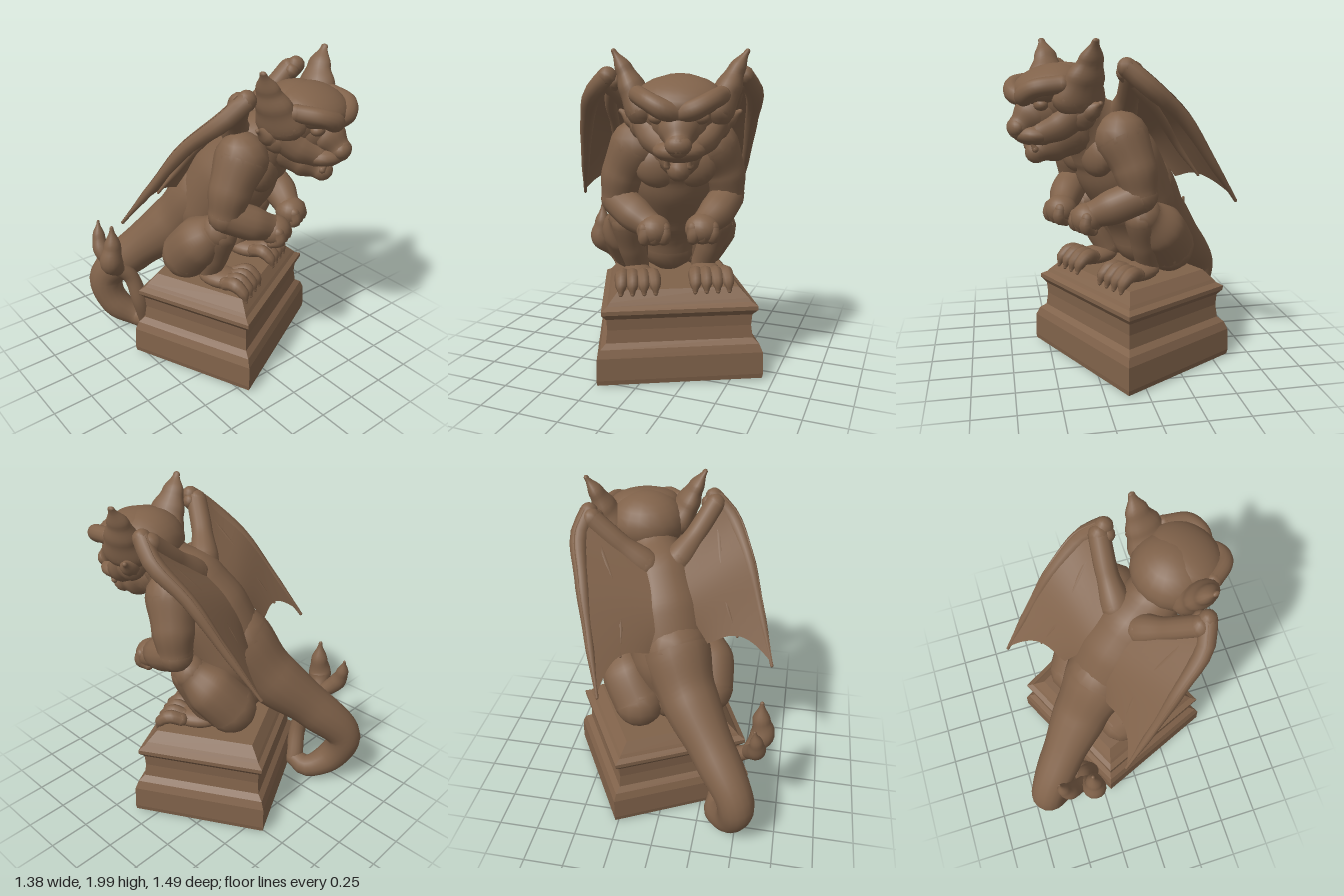
import * as THREE from 'three';
import { mergeGeometries, mergeVertices } from 'three/addons/utils/BufferGeometryUtils.js';

const stone = new THREE.MeshStandardMaterial({ color: 0x80624a, side: THREE.DoubleSide });
stone.name = 'brown stone';

const V = (p) => new THREE.Vector3(p[0], p[1], p[2]);

function add(parent, name, geometry) {
  const mesh = new THREE.Mesh(geometry, stone);
  mesh.name = name;
  parent.add(mesh);
  return mesh;
}

// Rounded limb through points [x, y, z, radius]
function limb(parent, name, pts, segs = 20, sides = 14) {
  const curve = new THREE.CatmullRomCurve3(pts.map(V));
  const tube = new THREE.TubeGeometry(curve, segs, 1, sides, false);
  const pos = tube.attributes.position;
  const p = new THREE.Vector3();
  for (let i = 0; i <= segs; i++) {
    const t = curve.getUtoTmapping(i / segs) * (pts.length - 1);
    const k = Math.min(Math.floor(t), pts.length - 2);
    const r = THREE.MathUtils.lerp(pts[k][3], pts[k + 1][3], THREE.MathUtils.smoothstep(t - k, 0, 1));
    const c = curve.getPointAt(i / segs);
    for (let j = 0; j <= sides; j++) {
      const n = i * (sides + 1) + j;
      p.fromBufferAttribute(pos, n).sub(c).multiplyScalar(r).add(c);
      pos.setXYZ(n, p.x, p.y, p.z);
    }
  }
  const caps = [pts[0], pts[pts.length - 1]].map((e) =>
    new THREE.SphereGeometry(e[3], sides, 8).translate(e[0], e[1], e[2]));
  const all = mergeGeometries([tube, ...caps]);
  all.deleteAttribute('normal');
  all.deleteAttribute('uv');
  const geo = mergeVertices(all, 1e-5);
  geo.computeVertexNormals();
  return add(parent, name, geo);
}

// Ellipsoid
function blob(parent, name, c, r, rot = [0, 0, 0]) {
  const mesh = add(parent, name, new THREE.SphereGeometry(1, 20, 14));
  mesh.position.set(...c);
  mesh.scale.set(...r);
  mesh.rotation.set(...rot);
  return mesh;
}

// Four-cornered moulded plinth, lofted through [height, scale]
function plinth() {
  const corners = [[-0.22, 0.58], [0.69, 0.12], [0.27, -0.61], [-0.55, -0.2]];
  const cx = 0.05, cz = -0.03;
  const levels = [[0.02, 0.99], [0.05, 1], [0.19, 0.99], [0.24, 0.95], [0.27, 0.88], [0.35, 0.86],
    [0.42, 0.87], [0.455, 0.93], [0.48, 0.93], [0.5, 0.86], [0.52, 0.83], [0.58, 0.72]];
  const verts = [], idx = [];
  for (const [y, s] of levels) for (const [x, z] of corners) verts.push(cx + (x - cx) * s, y, cz + (z - cz) * s);
  for (let i = 0; i < levels.length - 1; i++) for (let j = 0; j < 4; j++) {
    const a = i * 4 + j, b = i * 4 + (j + 1) % 4;
    idx.push(a, b, b + 4, a, b + 4, a + 4);
  }
  const t = (levels.length - 1) * 4;
  idx.push(0, 2, 1, 0, 3, 2, t, t + 1, t + 2, t, t + 2, t + 3);
  const geo = new THREE.BufferGeometry();
  geo.setAttribute('position', new THREE.Float32BufferAttribute(verts, 3));
  geo.setIndex(idx);
  const flat = geo.toNonIndexed();
  flat.computeVertexNormals();
  return flat;
}

// Bat wing: a sheet flowing out of the back, with bones on its inner face
function wing(parent, s) {
  const g = new THREE.Group();
  g.name = s > 0 ? 'leftWing' : 'rightWing';
  parent.add(g);
  const outer = new THREE.CatmullRomCurve3([[0.42, 1.88, 0.29], [0.5, 1.78, 0.2], [0.53, 1.6, 0.0],
    [0.54, 1.33, -0.2], [0.54, 1.05, -0.4]].map(V));
  const inner = new THREE.CatmullRomCurve3([[0.06, 1.62, 0.15], [0.07, 1.4, -0.08], [0.18, 1.16, -0.22]].map(V));
  const at = (u, v) => {
    const w = v * (1 - 0.12 * Math.sin(Math.PI * u));
    const p = inner.getPoint(w).lerp(outer.getPoint(w), u);
    p.x *= s;
    return p;
  };
  const nu = 16, nv = 16;
  const geo = new THREE.PlaneGeometry(1, 1, nu, nv);
  for (let j = 0; j <= nv; j++) for (let i = 0; i <= nu; i++) {
    const p = at(i / nu, j / nv);
    geo.attributes.position.setXYZ(j * (nu + 1) + i, p.x, p.y, p.z);
  }
  geo.computeVertexNormals();
  add(g, 'wingMembrane', geo);
  const bone = (name, u0, u1, inset, radii) => limb(g, name, radii.map((r, i) => {
    const v = i / (radii.length - 1);
    const p = at(THREE.MathUtils.lerp(u0, u1, Math.min(1, v * 1.5)), v);
    return [p.x - s * r * inset, p.y - r * inset, p.z + r * inset, r];
  }), 16, 10);
  bone('outerFinger', 1, 1, 0.6, [0.055, 0.055, 0.042, 0.028, 0.01]);
  bone('middleFinger', 0.9, 0.55, 0.8, [0.045, 0.035, 0.028, 0.02, 0.008]);
  limb(g, 'wingArm', [[s * 0.1, 1.55, 0.14, 0.09], [s * 0.24, 1.68, 0.2, 0.065], [s * 0.38, 1.82, 0.28, 0.063]]);
}

function arm(parent, s) {
  const g = new THREE.Group();
  g.name = s > 0 ? 'leftArm' : 'rightArm';
  parent.add(g);
  limb(g, 'upperArm', [[s * 0.22, 1.44, 0.23, 0.16], [s * 0.3, 1.28, 0.2, 0.13], [s * 0.33, 1.12, 0.18, 0.105]]);
  limb(g, 'forearm', [[s * 0.33, 1.12, 0.18, 0.105], [s * 0.25, 1.06, 0.3, 0.105], [s * 0.15, 1.0, 0.4, 0.08]]);
  blob(g, 'fist', [s * 0.14, 0.985, 0.42], [0.1, 0.09, 0.095]);
  for (let i = 0; i < 3; i++) {
    const x = s * (0.085 + i * 0.055);
    limb(g, 'finger', [[x, 1.0, 0.46, 0.038], [x, 0.95, 0.47, 0.04], [x, 0.92, 0.42, 0.03]], 8, 8);
  }
}

function leg(parent, s) {
  const g = new THREE.Group();
  g.name = s > 0 ? 'leftLeg' : 'rightLeg';
  parent.add(g);
  limb(g, 'thigh', [[s * 0.23, 0.74, -0.13, 0.16], [s * 0.27, 0.87, -0.02, 0.16], [s * 0.28, 0.98, 0.11, 0.11]]);
  limb(g, 'shin', [[s * 0.28, 0.96, 0.13, 0.1], [s * 0.25, 0.8, 0.08, 0.085], [s * 0.21, 0.65, 0.02, 0.075]]);
  blob(g, 'foot', [s * 0.215, 0.615, 0.11], [0.1, 0.06, 0.16]);
  for (let i = 0; i < 4; i++) {
    const k = i - 1.5, x = s * 0.225;
    limb(g, 'toe', [[x + k * 0.05, 0.63, 0.17, 0.042], [x + k * 0.064, 0.65, 0.24, 0.044],
      [x + k * 0.068, 0.61, 0.3, 0.036], [x + k * 0.07, 0.56, 0.32, 0.014]], 12, 8);
  }
}

function head(parent) {
  const g = new THREE.Group();
  g.name = 'head';
  g.position.set(0, 1.62, 0.48);
  g.rotation.y = -0.15;
  parent.add(g);
  blob(g, 'skull', [0, 0.06, -0.02], [0.24, 0.19, 0.22]);
  blob(g, 'forehead', [0, 0.13, 0.09], [0.23, 0.105, 0.2], [0.3, 0, 0]);
  limb(g, 'snout', [[0, 0.0, 0.08, 0.16], [0, -0.04, 0.19, 0.11], [0, -0.1, 0.265, 0.07]]);
  blob(g, 'nose', [0, -0.1, 0.285], [0.07, 0.055, 0.05]);
  blob(g, 'upperLip', [0, -0.14, 0.18], [0.14, 0.065, 0.12]);
  limb(g, 'jaw', [[0, -0.13, -0.04, 0.15], [0, -0.2, 0.08, 0.115], [0, -0.245, 0.17, 0.065]]);
  for (const s of [-1, 1]) {
    limb(g, 'brow', [[0, 0.055, 0.23, 0.05], [s * 0.08, 0.08, 0.26, 0.055], [s * 0.16, 0.12, 0.23, 0.05], [s * 0.22, 0.14, 0.1, 0.05]]);
    blob(g, 'eye', [s * 0.11, 0.03, 0.18], [0.05, 0.035, 0.04]);
    limb(g, 'cheek', [[s * 0.18, -0.01, 0.0, 0.09], [s * 0.14, -0.08, 0.07, 0.085], [s * 0.07, -0.13, 0.16, 0.07]]);
    limb(g, 'fang', [[s * 0.06, -0.22, 0.2, 0.02], [s * 0.06, -0.165, 0.235, 0.004]], 5, 8);
    limb(g, 'ear', [[s * 0.2, 0.06, 0.0, 0.1], [s * 0.26, 0.17, -0.01, 0.075],
      [s * 0.305, 0.27, -0.02, 0.048], [s * 0.36, 0.365, -0.02, 0.014]]).scale.z = 1.5;
    limb(g, 'cheekTuft', [[s * 0.19, -0.03, -0.02, 0.09], [s * 0.26, 0.0, -0.05, 0.055], [s * 0.33, 0.04, -0.07, 0.014]], 12, 10);
  }
}

export function createModel() {
  const model = new THREE.Group();
  model.name = 'gargoyle';
  add(model, 'pedestal', plinth());

  // The creature is turned towards its left on the pedestal
  const figure = new THREE.Group();
  figure.name = 'creature';
  figure.rotation.y = 0.47;
  model.add(figure);

  const body = new THREE.Group();
  body.name = 'body';
  body.position.x = 0.03;
  figure.add(body);
  limb(body, 'torso', [[0, 0.77, -0.1, 0.19], [0, 1.0, -0.05, 0.25], [0, 1.25, 0.09, 0.265],
    [0, 1.41, 0.2, 0.235], [0, 1.55, 0.36, 0.17]], 28, 22);
  head(body);
  for (const s of [-1, 1]) {
    blob(body, 'chestMuscle', [s * 0.1, 1.34, 0.32], [0.14, 0.13, 0.08]);
    wing(body, s);
    arm(body, s);
    leg(body, s);
  }

  // Tail sweeps down behind the pedestal and curls back up to a forked tip
  const tail = new THREE.Group();
  tail.name = 'tail';
  figure.add(tail);
  limb(tail, 'tailCurve', [[0.02, 1.08, -0.1, 0.22], [-0.01, 0.85, -0.3, 0.18], [-0.09, 0.6, -0.58, 0.14],
    [-0.16, 0.37, -0.79, 0.115], [-0.16, 0.18, -0.73, 0.1], [-0.12, 0.08, -0.57, 0.075],
    [-0.16, 0.1, -0.47, 0.06]], 40, 16);
  limb(tail, 'tailStem', [[-0.16, 0.1, -0.47, 0.06], [-0.24, 0.3, -0.47, 0.055], [-0.26, 0.5, -0.53, 0.05],
    [-0.33, 0.58, -0.6, 0.045]]);
  limb(tail, 'tailBarb', [[-0.31, 0.56, -0.58, 0.045], [-0.4, 0.67, -0.57, 0.075], [-0.39, 0.78, -0.56, 0.055], [-0.385, 0.91, -0.56, 0.012]]);
  limb(tail, 'tailBarb', [[-0.31, 0.56, -0.58, 0.045], [-0.31, 0.68, -0.7, 0.055], [-0.29, 0.77, -0.73, 0.04], [-0.27, 0.865, -0.74, 0.008]]);
  return model;
}
